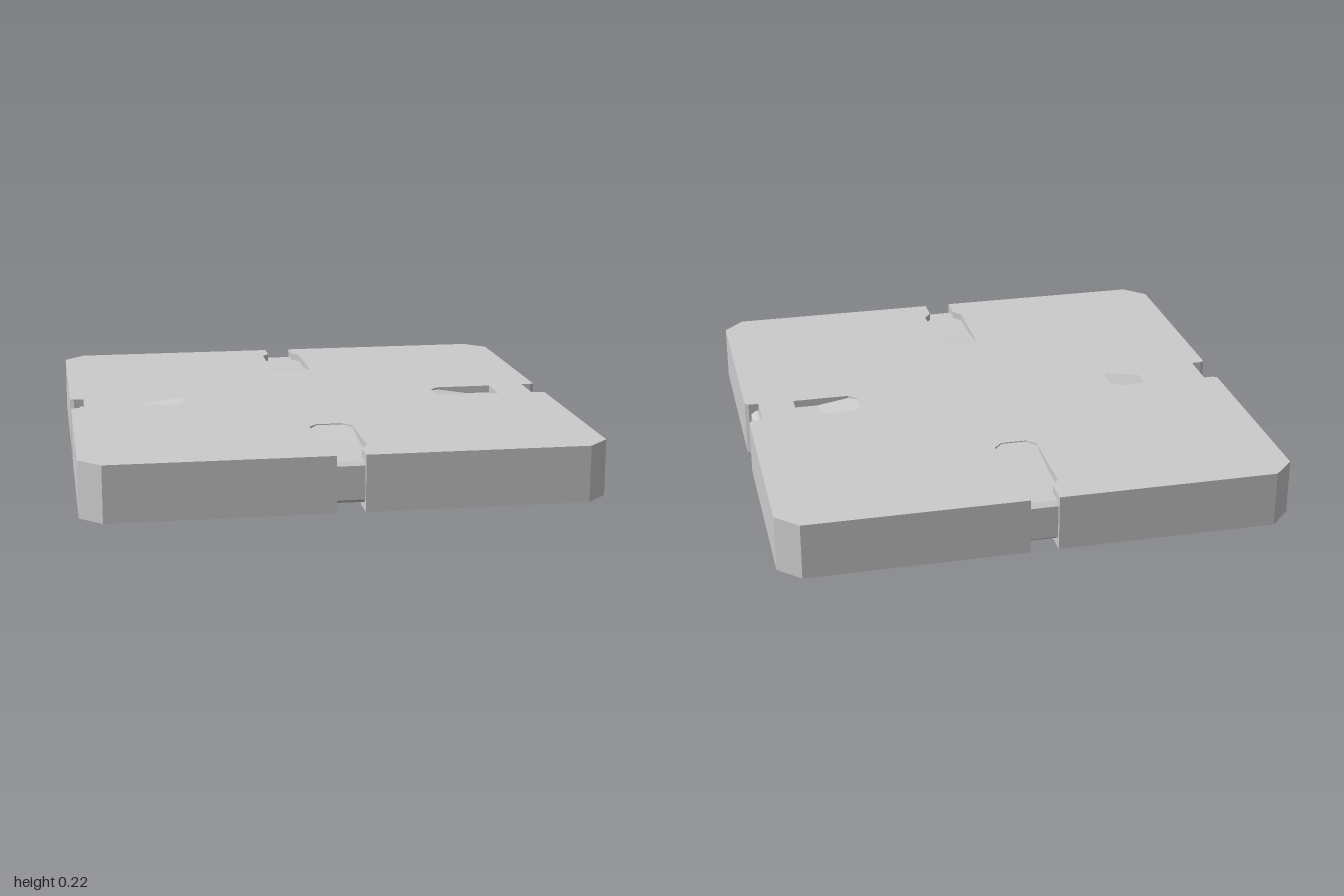
import * as THREE from 'three';

const H = 0.22, SKIN = 0.03; // slab height, depth of the recessed cuts
const material = new THREE.MeshStandardMaterial({ color: 0xcccccc });

// Mirrors the points of one quadrant into a closed four-fold outline
function mirroredShape(q) {
  const flip = (sx, sy) => q.map(([x, y]) => new THREE.Vector2(x * sx, y * sy));
  return new THREE.Shape([
    ...flip(1, 1), ...flip(1, -1).reverse(), ...flip(-1, -1), ...flip(-1, 1).reverse(),
  ]);
}

// Horizontal slab from a plan outline
function slab(name, shape, y, height) {
  const geo = new THREE.ExtrudeGeometry(shape, { depth: height, bevelEnabled: false });
  geo.rotateX(-Math.PI / 2).translate(0, y, 0);
  const mesh = new THREE.Mesh(geo, material);
  mesh.name = name;
  return mesh;
}

// Prism with a (distance outward, height) profile, facing +x, turned by angle
function prism(name, profile, width, angle) {
  const shape = new THREE.Shape(profile.map(([x, y]) => new THREE.Vector2(x, y)));
  const geo = new THREE.ExtrudeGeometry(shape, { depth: width, bevelEnabled: false });
  geo.translate(0, 0, -width / 2).rotateY(angle);
  const mesh = new THREE.Mesh(geo, material);
  mesh.name = name;
  return mesh;
}

// Top cover, centred on mid height: open finger channels, closed pockets
function createCover(name) {
  const cover = new THREE.Group();
  cover.name = name;
  const plan = mirroredShape([
    [0.05, 0.505], [0.085, 0.54], [0.085, 0.86], [0.055, 0.9], [0.055, 1],
    [0.915, 1], [1, 0.915], [1, 0.09], [0.985, 0.08], [0.945, 0.08],
  ]);
  for (const s of [-1, 1]) {
    plan.holes.push(new THREE.Path([
      [0.8, 0.075], [0.57, 0.075], [0.535, 0.04], [0.535, -0.04], [0.57, -0.075], [0.8, -0.075],
    ].map(([x, y]) => new THREE.Vector2(x * s, y))));
  }
  cover.add(slab('plate', plan, H / 2 - SKIN, SKIN));

  // Sloping floors of the channels and pockets
  const floor = H / 2 - SKIN, high = H / 2 - 0.004;
  for (let i = 0; i < 4; i++) {
    const [start, end, width] = i % 2 ? [0.505, 0.72, 0.17] : [0.535, 0.7, 0.15];
    cover.add(prism('recessRamp', [[start, floor], [end, floor], [start, high]], width, i * Math.PI / 2));
  }
  cover.position.y = H / 2;
  return cover;
}

export function createModel() {
  const model = new THREE.Group();
  model.name = 'slab';

  // Core with a notch in the middle of each side
  const corePlan = mirroredShape([
    [0.055, 0.965], [0.055, 1], [0.915, 1], [1, 0.915], [1, 0.09], [0.985, 0.08], [0.955, 0.08],
  ]);
  model.add(slab('core', corePlan, SKIN, H - 2 * SKIN));

  // Bevelled faces inside the notches
  for (let i = 0; i < 4; i++) {
    const [inner, outer, width] = i % 2 ? [0.965, 0.985, 0.11] : [0.955, 0.976, 0.16];
    model.add(prism('notchFace', [
      [inner, SKIN], [outer, 0.045], [outer, H - 0.045], [inner, H - SKIN],
    ], width, i * Math.PI / 2));
  }

  // Matching covers on both sides
  const bottom = createCover('bottomCover');
  bottom.rotation.x = Math.PI;
  model.add(createCover('topCover'), bottom);
  return model;
}
